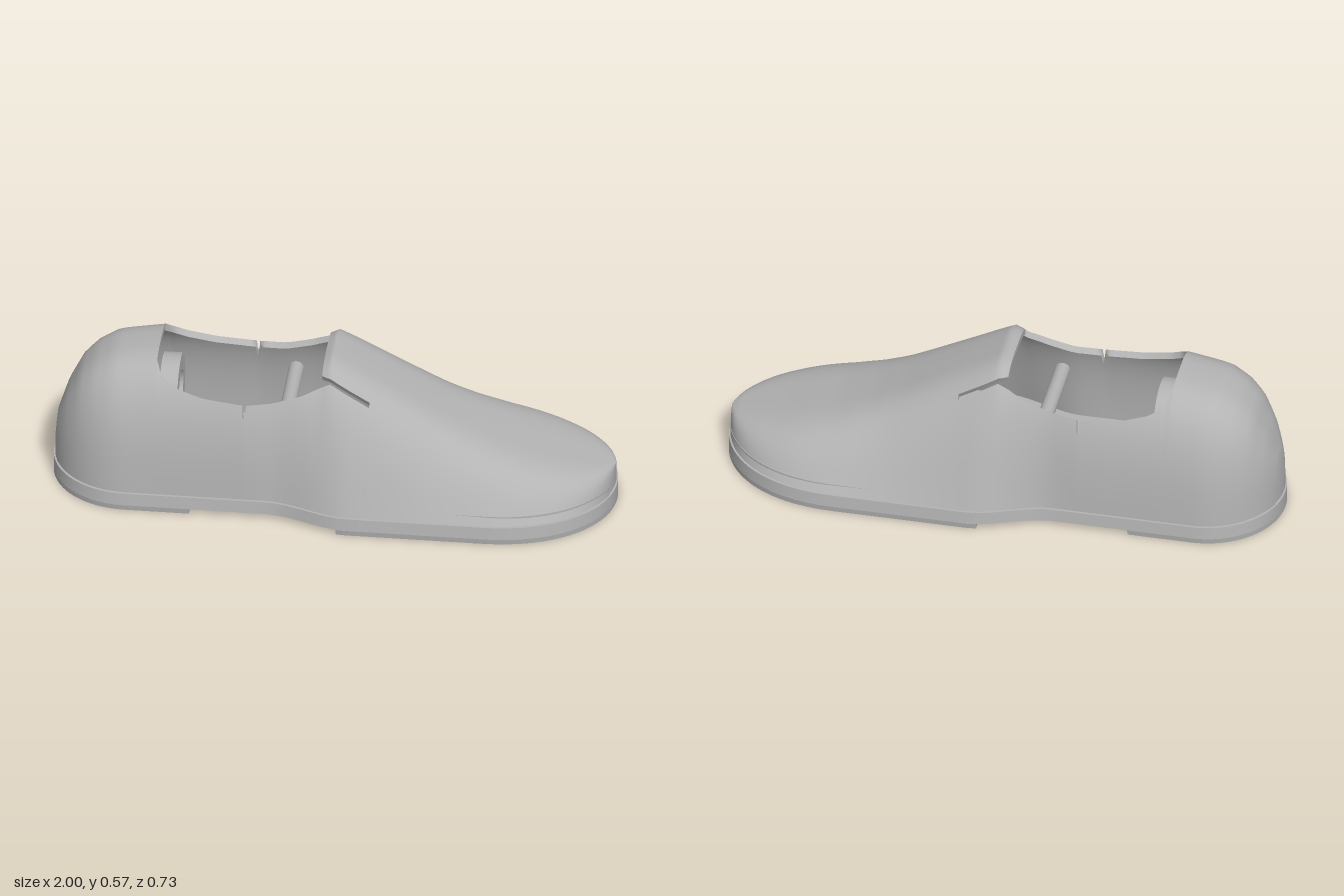
import * as THREE from 'three';

const grey = new THREE.MeshStandardMaterial({ color: 0xb3b3b3, side: THREE.DoubleSide });
grey.name = 'light grey';

// piecewise-linear lookup
function lookup(table, x) {
  if (x <= table[0][0]) return table[0][1];
  for (let i = 1; i < table.length; i++) {
    const [x0, v0] = table[i - 1], [x1, v1] = table[i];
    if (x <= x1) return v0 + (v1 - v0) * (x - x0) / (x1 - x0);
  }
  return table[table.length - 1][1];
}

// half width of the footprint along the length (heel at -x, toe at +x)
function outline(x) {
  if (x < -0.72) return 0.28 * Math.sqrt(Math.max(0, 1 - ((x + 0.72) / 0.28) ** 2));
  if (x > 0.55) return 0.36 * Math.sqrt(Math.max(0, 1 - ((x - 0.55) / 0.45) ** 2.2));
  return 0.28 + 0.08 * THREE.MathUtils.smoothstep(x, -0.22, 0.08);
}

const BASE = 0.07, WALL = 0.022, END = 0.995;
const crest = [[-1, 0.08], [-0.985, 0.23], [-0.95, 0.335], [-0.9, 0.43], [-0.85, 0.48], [-0.78, 0.52],
  [-0.62, 0.55], [-0.3, 0.56], [-0.035, 0.55], [0, 0.568], [0.1, 0.512], [0.2, 0.457], [0.37, 0.363],
  [0.48, 0.31], [0.6, 0.263], [0.8, 0.203], [0.97, 0.158], [1, 0.145]];
const taper = [[-1, 0.1], [-0.3, 0.1], [0, 0.4], [0.4, 0.4], [0.7, 0.3], [1, 0.2]];
const power = [[-0.3, 3], [0, 4]];
const rim = [[-0.62, 0.53], [-0.6, 0.495], [-0.55, 0.465], [-0.45, 0.438], [-0.306, 0.424], [-0.304, 0.38],
  [-0.296, 0.38], [-0.294, 0.424], [-0.2, 0.432], [-0.1, 0.462], [0, 0.508], [0.14, 0.43]];

// point of the upper: t = 0 at the left base, PI/2 on the crest, PI at the right base
function upperPoint(x, t, inset) {
  const e = 2 / lookup(power, x), c = Math.cos(t);
  const s = Math.max(0, Math.sin(t)) ** e;
  const w = Math.max(0, outline(x / END) - 0.004 - inset);
  const h = Math.max(0.005, lookup(crest, x) - BASE - inset);
  return [x, BASE + h * s, w * (1 - lookup(taper, x) * s) * Math.sign(c) * Math.abs(c) ** e];
}

// section angle at which the upper reaches height y
function angleAt(x, y) {
  const s = Math.min(1, (y - BASE) / (lookup(crest, x) - BASE));
  return Math.asin(s ** (lookup(power, x) / 2));
}

function sheet(rows) {
  const n = rows[0].length, index = [];
  for (let i = 0; i < rows.length - 1; i++) {
    for (let j = 0; j < n - 1; j++) {
      const a = i * n + j, b = a + n;
      index.push(a, b, a + 1, b, b + 1, a + 1);
    }
  }
  const g = new THREE.BufferGeometry();
  g.setAttribute('position', new THREE.Float32BufferAttribute(rows.flat(2), 3));
  g.setIndex(index);
  g.computeVertexNormals();
  return g;
}

function add(parent, name, geometry) {
  const mesh = new THREE.Mesh(geometry, grey);
  mesh.name = name;
  parent.add(mesh);
  return mesh;
}

// thick piece of the upper between two section angles
function panel(parent, name, xs, lo, hi, steps) {
  const group = new THREE.Group();
  group.name = name;
  parent.add(group);
  const grid = inset => xs.map(x => Array.from({ length: steps + 1 }, (_, j) =>
    upperPoint(x, lo(x) + (hi(x) - lo(x)) * j / steps, inset)));
  const outer = grid(0), inner = grid(WALL), last = xs.length - 1;
  add(group, name + 'Outside', sheet(outer));
  add(group, name + 'Lining', sheet([...inner].reverse()));
  add(group, name + 'LowEdge', sheet([inner.map(r => r[0]), outer.map(r => r[0])]));
  add(group, name + 'HighEdge', sheet([outer.map(r => r[steps]), inner.map(r => r[steps])]));
  add(group, name + 'RearEdge', sheet([inner[0], outer[0]]));
  add(group, name + 'FrontEdge', sheet([outer[last], inner[last]]));
}

function range(a, b, n, ease = u => u) {
  return Array.from({ length: n + 1 }, (_, i) => a + (b - a) * ease(i / n));
}

// horizontal slab following the footprint, flared from top to bottom
function slab(parent, name, x0, x1, y0, y1, growLow, growHigh) {
  const xs = range(x0, x1, 64, u => (1 - Math.cos(Math.PI * u)) / 2);
  const edge = xs.map(x => [x, outline(x)]);
  const loop = [...edge, ...edge.map(([x, w]) => [x, -w]).reverse()];
  loop.push(loop[0]);
  const ring = (y, g) => loop.map(([x, w]) => [x, y, w + Math.sign(w) * g * Math.min(1, Math.abs(w) / 0.1)]);
  const low = ring(y0, growLow), high = ring(y1, growHigh);
  const group = new THREE.Group();
  group.name = name;
  parent.add(group);
  add(group, name + 'Side', sheet([high, low]));
  // caps span from the left edge to the right edge
  const cap = r => {
    const half = edge.length;
    return sheet(edge.map((_, i) => [r[i], r[2 * half - 1 - i]]));
  };
  add(group, name + 'Top', cap(high));
  const bottom = cap(low);
  bottom.setIndex([...bottom.index.array].reverse());
  bottom.computeVertexNormals();
  add(group, name + 'Bottom', bottom);
}

export function createModel() {
  const shoe = new THREE.Group();
  shoe.name = 'shoe';

  // sole with a raised arch between heel and forefoot
  slab(shoe, 'sole', -1, 1, 0.02, 0.065, 0.003, -0.002);
  slab(shoe, 'heelPad', -1, -0.49, 0, 0.02, 0, 0.003);
  slab(shoe, 'forefootPad', 0.04, 1, 0, 0.02, 0, 0.003);
  slab(shoe, 'insole', -0.98, 0.98, 0.06, 0.1, -0.02, -0.02);

  // closed heel and vamp
  const zero = () => 0, pi = () => Math.PI;
  panel(shoe, 'heel', range(-END, -0.62, 24, u => u * u), zero, pi, 40);
  panel(shoe, 'vamp', range(0.14, END, 40, u => 1 - (1 - u) ** 2), zero, pi, 40);

  // side walls under the collar, each with a small notch
  const rimAngle = x => angleAt(x, lookup(rim, x));
  const sideXs = [...range(-0.62, -0.306, 16), -0.304, -0.296, ...range(-0.294, 0, 14), ...range(0.02, 0.14, 6)];
  panel(shoe, 'leftSide', sideXs, zero, rimAngle, 20);
  panel(shoe, 'rightSide', sideXs, x => Math.PI - rimAngle(x), pi, 20);

  // tongue, parted from the sides by a slit
  const tongueAngle = x => angleAt(x, lookup(rim, Math.max(0, x)) + 0.014);
  panel(shoe, 'tongue', [-0.032, -0.015, ...range(0, 0.14, 7)], tongueAngle, x => Math.PI - tongueAngle(x), 20);

  // cross bar inside the opening
  const bar = add(shoe, 'crossBar', new THREE.CylinderGeometry(0.027, 0.027, 0.345, 24));
  bar.rotation.x = Math.PI / 2;
  bar.position.set(-0.16, 0.35, 0);

  // ring inside the heel
  const disc = new THREE.Shape().absarc(0, 0, 0.13, 0, Math.PI * 2);
  disc.holes.push(new THREE.Path().absarc(0, 0, 0.07, 0, Math.PI * 2, true));
  const ring = add(shoe, 'heelRing', new THREE.ExtrudeGeometry(disc, { depth: 0.065, bevelEnabled: false, curveSegments: 24 }));
  ring.rotation.y = Math.PI / 2;
  ring.position.set(-0.615, 0.34, 0);

  return shoe;
}
